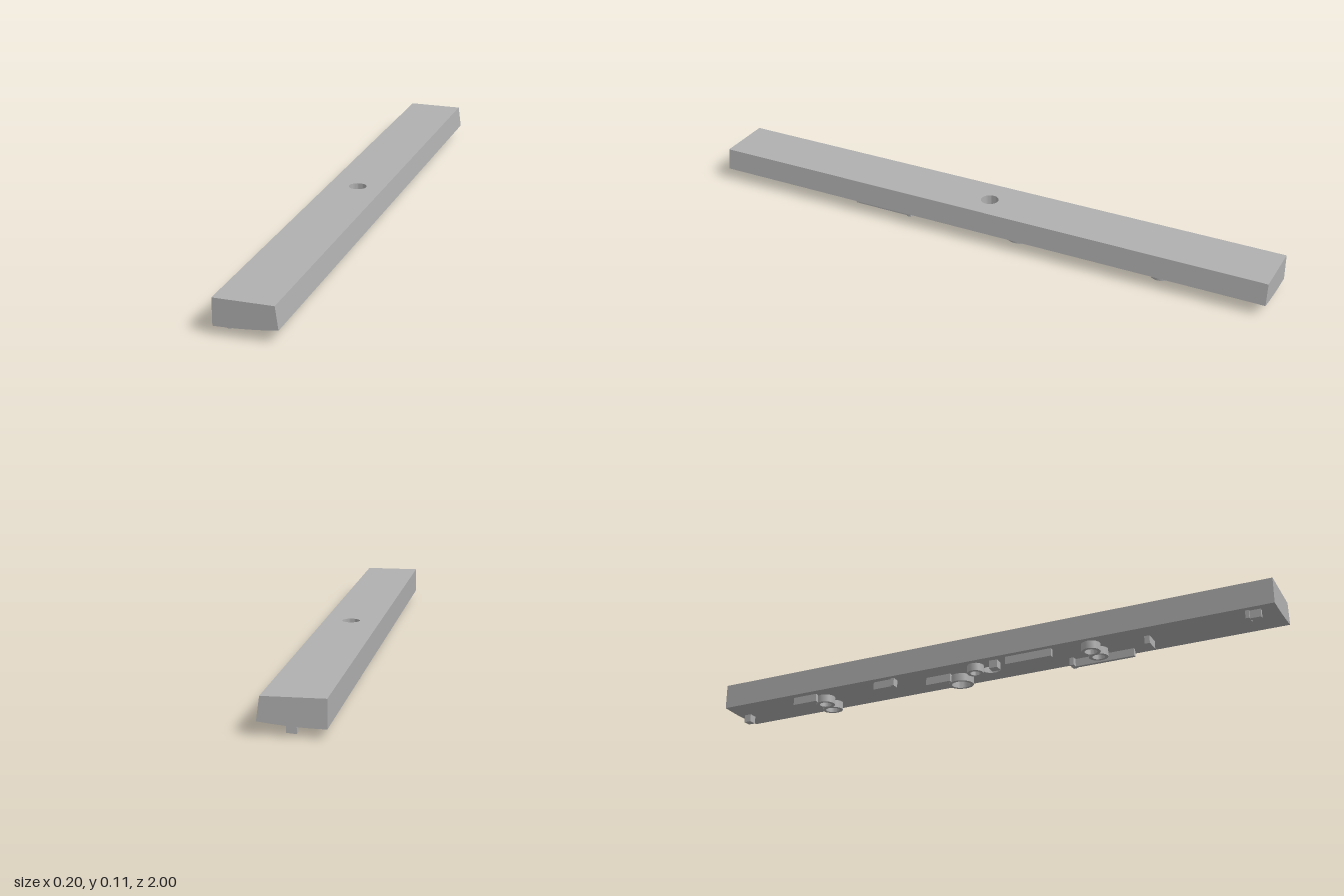
import * as THREE from 'three';
import { toCreasedNormals } from 'three/addons/utils/BufferGeometryUtils.js';

const TOP = 0.115;
const HOLE_R = 0.03;
const RIB_DEPTH = 0.027;

// Height of the bowed underside at a given x
const underside = (x) => 0.028 + 0.35 * (x + 0.1) ** 2;

// Extrude a plan shape (x, -z) upward along y
function extrudePlan(shape, height, curveSegments) {
  return new THREE.ExtrudeGeometry(shape, { depth: height, bevelEnabled: false, curveSegments })
    .rotateX(-Math.PI / 2);
}

function rectShape(x, z, w, l) {
  const s = new THREE.Shape();
  s.moveTo(x - w / 2, -z - l / 2);
  s.lineTo(x + w / 2, -z - l / 2);
  s.lineTo(x + w / 2, -z + l / 2);
  s.lineTo(x - w / 2, -z + l / 2);
  s.closePath();
  return s;
}

function ringShape(x, z, outer, wall) {
  const s = new THREE.Shape();
  s.absarc(x, -z, outer, 0, Math.PI * 2, false);
  const hole = new THREE.Path();
  hole.absarc(x, -z, outer - wall, 0, Math.PI * 2, true);
  s.holes.push(hole);
  return s;
}

function moveVertices(geometry, rule) {
  const p = geometry.attributes.position;
  const v = new THREE.Vector3();
  for (let i = 0; i < p.count; i++) {
    v.fromBufferAttribute(p, i);
    rule(v);
    p.setXYZ(i, v.x, v.y, v.z);
  }
  return toCreasedNormals(geometry, 0.6);
}

export function createModel() {
  const group = new THREE.Group();
  const grey = new THREE.MeshStandardMaterial({ color: 0xb0b0b0 });
  grey.name = 'grey';

  function add(name, geometry) {
    const mesh = new THREE.Mesh(geometry, grey);
    mesh.name = name;
    group.add(mesh);
  }

  // Two long halves of the bar: one cross-section run along z
  const section = new THREE.Shape();
  section.moveTo(-0.1, TOP);
  for (let i = 0; i <= 12; i++) {
    const x = -0.1 + 0.2 * i / 12;
    section.lineTo(x, underside(x));
  }
  section.lineTo(0.09, TOP);
  section.closePath();
  const gap = 0.04;
  for (const [name, z] of [['frontBar', gap], ['backBar', -1]]) {
    const half = new THREE.ExtrudeGeometry(section, { depth: 1 - gap, bevelEnabled: false });
    add(name, toCreasedNormals(half.translate(0, 0, z), 0.6));
  }

  // Middle block with the round hole through it
  const plan = new THREE.Shape();
  for (let i = 0; i <= 12; i++) plan.lineTo(-0.1 + 0.2 * i / 12, -gap);
  for (let i = 12; i >= 0; i--) plan.lineTo(-0.1 + 0.2 * i / 12, gap);
  plan.curves.shift();
  plan.closePath();
  const bore = new THREE.Path();
  bore.absarc(0, 0, HOLE_R, 0, Math.PI * 2, true);
  plan.holes.push(bore);
  add('boredMiddle', moveVertices(extrudePlan(plan, 1, 16), (v) => {
    if (v.y > 0.5) {
      v.y = TOP;
      if (v.x > 0.099) v.x = 0.09;
    } else v.y = underside(v.x);
  }));

  // Raised ribs follow the underside at a constant depth
  const addRib = (name, shape) => add(name, moveVertices(
    extrudePlan(shape, RIB_DEPTH + 0.004, 12),
    (v) => { v.y += underside(v.x) - RIB_DEPTH; }));

  // Straight ribs: x, z, width, length
  const bars = [
    [0.005, -0.965, 0.03, 0.025],
    [-0.07, -0.685, 0.014, 0.09], [-0.072, -0.37, 0.014, 0.08],
    [-0.072, -0.335, 0.026, 0.012],
    [-0.028, -0.185, 0.014, 0.09], [-0.06, 0.038, 0.03, 0.03],
    [-0.075, 0.167, 0.014, 0.165], [0.052, 0.382, 0.014, 0.22],
    [0.045, 0.28, 0.04, 0.014], [-0.01, 0.565, 0.055, 0.018],
    [-0.07, 0.925, 0.014, 0.05], [-0.066, 0.908, 0.036, 0.012],
  ];
  bars.forEach((b, i) => addRib(`straightRib${i + 1}`, rectShape(...b)));

  // Round ribs: x, z, outer radius
  const rings = [
    [0.03, -0.633, 0.035], [-0.03, -0.627, 0.032],
    [0.018, -0.122, 0.043], [-0.055, -0.035, 0.028],
    [0, 0.385, 0.032], [-0.053, 0.378, 0.032],
  ];
  rings.forEach(([x, z, r], i) => addRib(`roundRib${i + 1}`, ringShape(x, z, r, 0.011)));

  return group;
}
